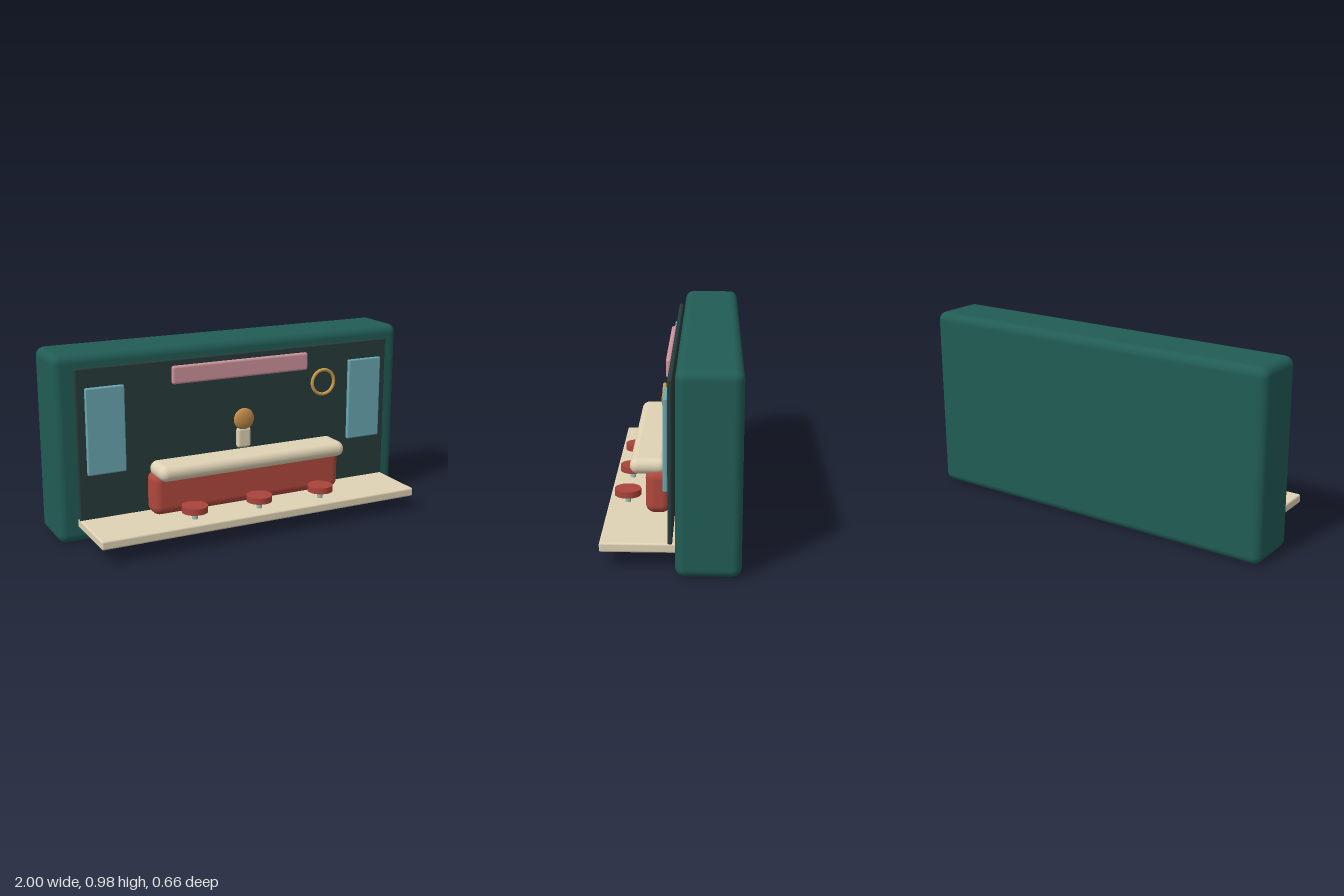
import * as THREE from 'three';
import { RoundedBoxGeometry } from 'three/addons/geometries/RoundedBoxGeometry.js';

const paint = (color) => new THREE.MeshStandardMaterial({ color });
const green = paint(0x215c55);
const dark = paint(0x273c3b);
const cream = paint(0xdfd2b5);
const red = paint(0xb0483d);
const seatRed = paint(0xa9443b);
const blue = paint(0x6aa7b3);
const pink = paint(0xcc939b);
const gold = paint(0xc99a4a);
const tan = paint(0xbf8a4a);
const steel = paint(0x9dbdba);

export function createModel() {
  const model = new THREE.Group();

  const add = (name, geometry, material, x, y, z, parent = model) => {
    const mesh = new THREE.Mesh(geometry, material);
    mesh.name = name;
    mesh.position.set(x, y, z);
    parent.add(mesh);
    return mesh;
  };

  // Rounded box given by its [min, max] range on each axis
  const block = (name, material, [x0, x1], [y0, y1], [z0, z1], radius) =>
    add(name, new RoundedBoxGeometry(x1 - x0, y1 - y0, z1 - z0, 5, radius), material,
      (x0 + x1) / 2, (y0 + y1) / 2, (z0 + z1) / 2);

  // Building shell, back wall and floor
  block('shell', green, [-1, 1], [0, 0.975], [-0.33, -0.025], 0.045);
  block('backWall', dark, [-0.9, 0.9], [0.125, 0.91], [-0.01, 0.012], 0.008);
  block('floor', cream, [-0.9, 0.9], [0.083, 0.13], [-0.05, 0.33], 0.01);

  // Counter
  block('counterBase', red, [-0.547, 0.543], [0.13, 0.355], [0.012, 0.135], 0.045);
  block('counterTop', cream, [-0.537, 0.533], [0.328, 0.41], [0.03, 0.213], 0.04);

  // Wall panels
  for (const side of [-1, 1]) {
    const xs = [side * 0.652, side * 0.857].sort((a, b) => a - b);
    block(side < 0 ? 'rightWindow' : 'leftWindow', blue, xs, [0.365, 0.813], [0.012, 0.035], 0.008);
  }
  block('signBoard', pink, [-0.395, 0.39], [0.785, 0.88], [0.012, 0.04], 0.012);
  add('wallRing', new THREE.TorusGeometry(0.067, 0.009, 16, 64), gold, 0.485, 0.71, 0.04);

  // Figure behind the counter
  block('figureBody', cream, [-0.042, 0.037], [0.41, 0.52], [0.033, 0.067], 0.015);
  add('figureHead', new THREE.SphereGeometry(0.058, 40, 28), tan, -0.003, 0.566, 0.057)
    .scale.z = 0.4;

  // Stools
  for (const x of [-0.369, -0.003, 0.363]) {
    const stool = new THREE.Group();
    stool.name = 'stool';
    stool.position.set(x, 0, 0.234);
    model.add(stool);
    add('stoolSeat', new THREE.CylinderGeometry(0.067, 0.067, 0.033, 40), seatRed, 0, 0.185, 0, stool);
    add('stoolPost', new THREE.CylinderGeometry(0.015, 0.015, 0.104, 24), steel, 0, 0.12, 0, stool);
  }

  return model;
}
